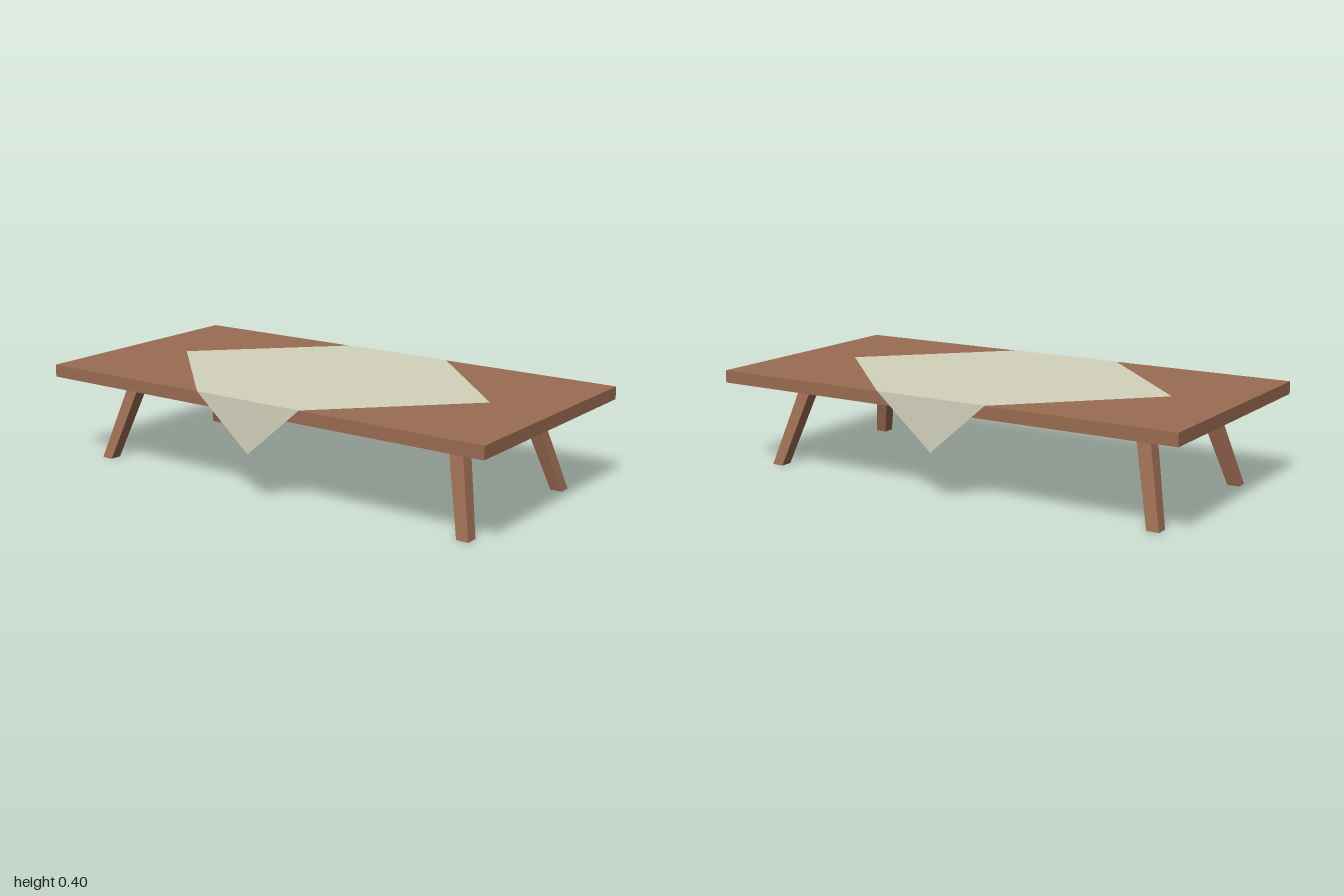
import * as THREE from 'three';

const wood = new THREE.MeshStandardMaterial({ color: 0x9b6c52 });
wood.name = 'wood';
const linen = new THREE.MeshStandardMaterial({ color: 0xd3d2bc, side: THREE.DoubleSide });
linen.name = 'linen';

const TOP = 0.4, UNDER = 0.35, HALF_W = 0.5;

function add(parent, name, geometry, material) {
  const mesh = new THREE.Mesh(geometry, material);
  mesh.name = name;
  parent.add(mesh);
  return mesh;
}

// Flat sheet from corner points
function sheet(points) {
  return new THREE.ShapeGeometry(new THREE.Shape(points.map(([x, y]) => new THREE.Vector2(x, y))));
}

// Splayed, slightly tapering square leg with level ends
function legGeometry(sx, sz) {
  const geo = new THREE.BoxGeometry(1, UNDER, 1);
  const p = geo.attributes.position;
  for (let i = 0; i < p.count; i++) {
    const upper = p.getY(i) > 0;
    const width = upper ? 0.058 : 0.049;
    p.setXYZ(i,
      sx * (upper ? 0.252 : 0.351) + p.getX(i) * width,
      upper ? UNDER : 0,
      sz * (upper ? 0.756 : 0.853) + p.getZ(i) * width);
  }
  const flat = geo.toNonIndexed();
  flat.computeVertexNormals();
  return flat;
}

export function createModel() {
  const table = new THREE.Group();
  table.name = 'table';

  // Tabletop
  add(table, 'tabletop', new THREE.BoxGeometry(2 * HALF_W, TOP - UNDER, 2), wood)
    .position.y = (TOP + UNDER) / 2;

  // Four legs
  for (const [sz, end] of [[1, 'front'], [-1, 'back']]) {
    for (const [sx, side] of [[1, 'Left'], [-1, 'Right']]) {
      add(table, `${end}${side}Leg`, legGeometry(sx, sz), wood);
    }
  }

  // Square cloth laid cornerwise, its side corners folded down
  const cloth = new THREE.Group();
  cloth.name = 'tablecloth';
  table.add(cloth);
  const w = HALF_W + 0.001, e = 0.24, tip = 0.735;
  const flat = sheet([[w, -e], [w, e], [0, tip], [-w, e], [-w, -e], [0, -tip]]);
  flat.rotateX(-Math.PI / 2);
  add(cloth, 'clothTop', flat, linen).position.y = TOP + 0.001;

  for (const [s, side] of [[1, 'left'], [-1, 'right']]) {
    const flap = sheet([[-e, TOP + 0.001], [0, 0.195], [e, TOP + 0.001]]);
    flap.rotateY(s * Math.PI / 2);
    add(cloth, `${side}ClothFlap`, flap, linen).position.x = s * w;
  }

  return table;
}
